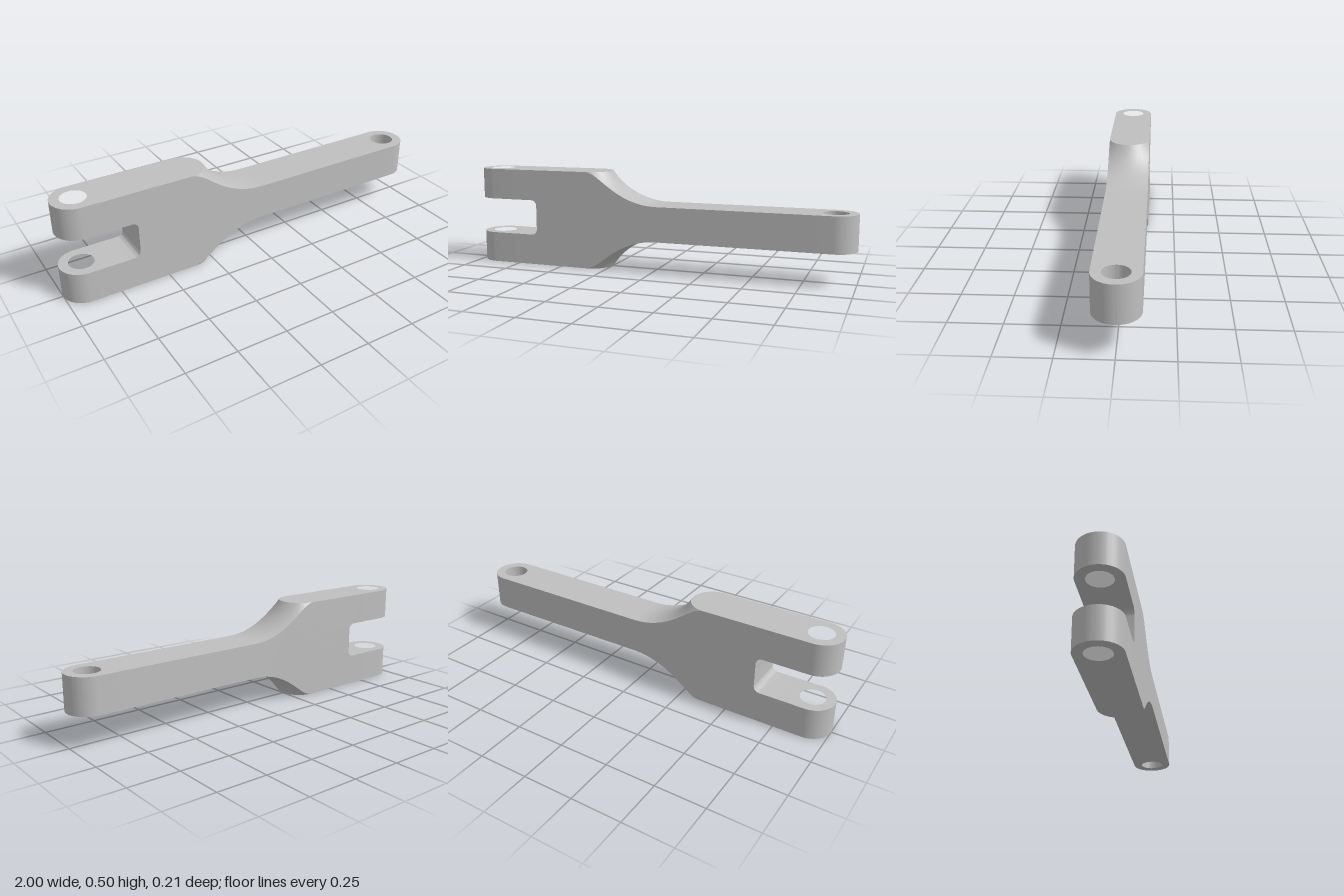
import * as THREE from 'three';
import { toCreasedNormals } from 'three/addons/utils/BufferGeometryUtils.js';

const R = 0.107;        // half thickness, also the radius of the rounded ends
const MID = 0.251;      // height of the centre line
const ROD = 0.089;      // half height of the rod
const SLOT = 0.092;     // half height of the fork slot
const CUT = 0.75;       // where the body meets the drilled ends
const EYE = 0.893;      // hole centres
const AXIS = -0.357;    // axis the shoulder fillet is revolved around

// Upper half of the outline, from the rod end round to the slot back
function halfOutline() {
  const pts = [{ x: CUT, y: ROD }];
  const r = 0.34, end = Math.asin(0.29 / r), n = 24;
  for (let i = 0; i <= n; i++) {
    const a = (end * i) / n;
    const y = i === n ? MID : ROD + r * (1 - Math.cos(a));
    pts.push({ x: 0.04 - r * Math.sin(a), y, revolved: true });
  }
  pts.push({ x: -CUT, y: MID }, { x: -CUT, y: SLOT });
  for (let i = 0; i <= 8; i++) {
    const a = (Math.PI / 2) * (1 - i / 8);
    pts.push({ x: -0.67 + 0.03 * Math.cos(a), y: SLOT - 0.03 + 0.03 * Math.sin(a) });
  }
  return pts;
}

// Outline in the plane z; shoulder points lie on circles about AXIS
function outlineAt(z) {
  const upper = halfOutline().map((p) => {
    const rho = p.x - AXIS;
    const x = p.revolved ? AXIS + Math.sqrt(Math.max(0, rho * rho - z * z)) : p.x;
    return new THREE.Vector2(x, p.y);
  });
  const lower = upper.map((p) => new THREE.Vector2(p.x, -p.y)).reverse();
  return [...upper, ...lower].map((p) => p.setY(p.y + MID));
}

// Skin of the body between successive outlines
function skinGeometry() {
  const steps = 32, pos = [];
  const rings = [];
  for (let j = 0; j <= steps; j++) {
    const z = R * Math.sin(Math.PI * (j / steps - 0.5));
    rings.push(outlineAt(z).map((p) => new THREE.Vector3(p.x, p.y, z)));
  }
  for (let j = 0; j < steps; j++) {
    const n = rings[j].length;
    for (let i = 0; i < n; i++) {
      const k = (i + 1) % n;
      const a = rings[j][i], b = rings[j][k], c = rings[j + 1][k], d = rings[j + 1][i];
      for (const v of [a, b, c, a, c, d]) pos.push(v.x, v.y, v.z);
    }
  }
  const g = new THREE.BufferGeometry();
  g.setAttribute('position', new THREE.Float32BufferAttribute(pos, 3));
  return toCreasedNormals(g, 0.5);
}

// Rounded, drilled end piece; side is -1 or 1 along x
function eyeGeometry(side, y0, y1) {
  const s = new THREE.Shape();
  s.moveTo(side * CUT, -R);
  s.lineTo(side * EYE, -R);
  s.absarc(side * EYE, 0, R, -Math.PI / 2, Math.PI / 2, side < 0);
  s.lineTo(side * CUT, R);
  s.closePath();
  s.holes.push(new THREE.Path().absarc(side * EYE, 0, 0.061, 0, Math.PI * 2, true));
  const g = new THREE.ExtrudeGeometry(s, { depth: y1 - y0, bevelEnabled: false, curveSegments: 32 });
  g.rotateX(-Math.PI / 2).translate(0, y0, 0);
  return toCreasedNormals(g, 0.5);
}

export function createModel() {
  const group = new THREE.Group();
  group.name = 'clevisRod';
  const metal = new THREE.MeshStandardMaterial({ color: 0xbfbfbf });
  metal.name = 'grey metal';
  const add = (name, geometry) => {
    const mesh = new THREE.Mesh(geometry, metal);
    mesh.name = name;
    group.add(mesh);
    return mesh;
  };

  // Body with slot, filleted shoulder and rod
  add('bodySkin', skinGeometry());
  const face = new THREE.Shape(outlineAt(R));
  add('frontFace', new THREE.ShapeGeometry(face)).position.z = R;
  const back = add('backFace', new THREE.ShapeGeometry(new THREE.Shape(
    outlineAt(R).map((p) => new THREE.Vector2(-p.x, p.y)))));
  back.rotation.y = Math.PI;
  back.position.z = -R;

  // Drilled ends
  add('upperForkArm', eyeGeometry(-1, MID + SLOT, 2 * MID));
  add('lowerForkArm', eyeGeometry(-1, 0, MID - SLOT));
  add('rodEye', eyeGeometry(1, MID - ROD, MID + ROD));
  return group;
}
